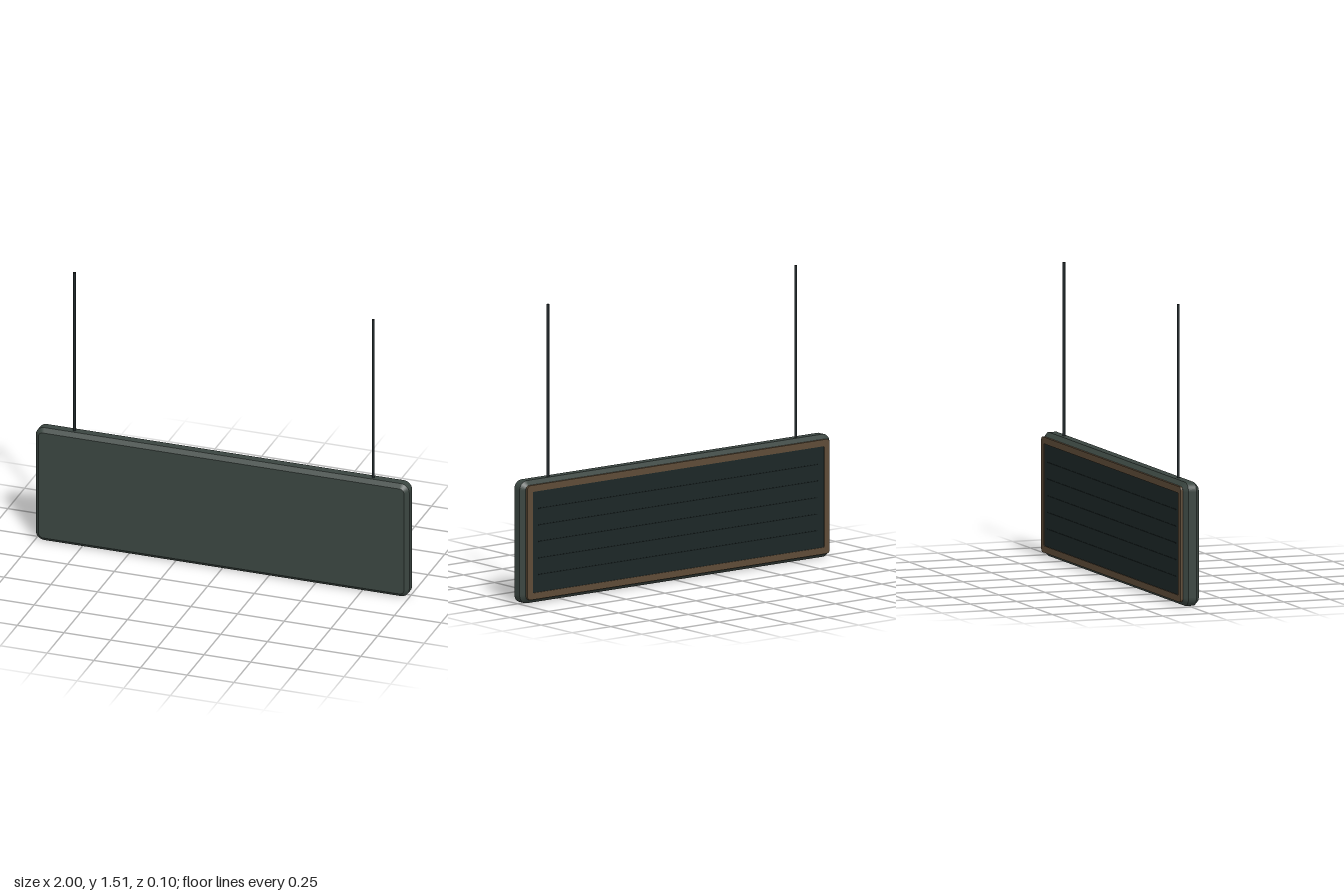
import * as THREE from 'three';

const HEIGHT = 0.63;
const MID_Y = HEIGHT / 2;

const material = (color, flatShading = false) => new THREE.MeshStandardMaterial({ color, flatShading });

// Rounded rectangle centred on the origin
function roundedRect(w, h, r, Type = THREE.Shape) {
  const s = new Type();
  const x = w / 2, y = h / 2;
  s.moveTo(-x + r, -y);
  s.lineTo(x - r, -y);
  s.absarc(x - r, -y + r, r, -Math.PI / 2, 0);
  s.lineTo(x, y - r);
  s.absarc(x - r, y - r, r, 0, Math.PI / 2);
  s.lineTo(-x + r, y);
  s.absarc(-x + r, y - r, r, Math.PI / 2, Math.PI);
  s.lineTo(-x, -y + r);
  s.absarc(-x + r, -y + r, r, Math.PI, Math.PI * 1.5);
  return s;
}

export function createModel() {
  const model = new THREE.Group();

  const add = (name, geometry, mat, x, y, z) => {
    const mesh = new THREE.Mesh(geometry, mat);
    mesh.name = name;
    mesh.position.set(x, y, z);
    model.add(mesh);
  };

  const bodyMat = material(0x3a4540, true);
  const frameMat = material(0x5e4c38, true);
  const panelMat = material(0x1c2727);
  const grooveMat = material(0x141c1c);
  const rodMat = material(0x20282a);

  // Board with chamfered edges, z from -0.036 to 0.049
  const chamfer = 0.021;
  const body = new THREE.ExtrudeGeometry(roundedRect(2, HEIGHT, 0.045), {
    depth: 0.085 - 2 * chamfer, curveSegments: 5,
    bevelThickness: chamfer, bevelSize: chamfer, bevelOffset: -chamfer, bevelSegments: 1,
  });
  add('board', body, bodyMat, 0, MID_Y, -0.036 + chamfer);

  // Trim around the back
  const trim = roundedRect(1.95, 0.588, 0.018);
  trim.holes.push(roundedRect(1.88, 0.52, 0.004, THREE.Path));
  const trimGeometry = new THREE.ExtrudeGeometry(trim, { depth: 0.013, curveSegments: 3, bevelEnabled: false });
  add('backTrim', trimGeometry, frameMat, 0, MID_Y, -0.048);

  // Dark panel inside the trim, with thin horizontal lines
  add('backPanel', new THREE.BoxGeometry(1.885, 0.525, 0.009), panelMat, 0, MID_Y, -0.0395);
  for (let i = -2; i <= 2; i++) {
    add('panelLine', new THREE.BoxGeometry(1.8, 0.004, 0.003), grooveMat, 0, MID_Y + i * 0.085, -0.0445);
  }

  // Hanging rods
  const rodBottom = 0.615, rodTop = 1.515;
  for (const side of [-1, 1]) {
    add(side > 0 ? 'leftRod' : 'rightRod',
      new THREE.CylinderGeometry(0.0075, 0.0075, rodTop - rodBottom, 8),
      rodMat, side * 0.8, (rodTop + rodBottom) / 2, 0.007);
  }

  return model;
}
